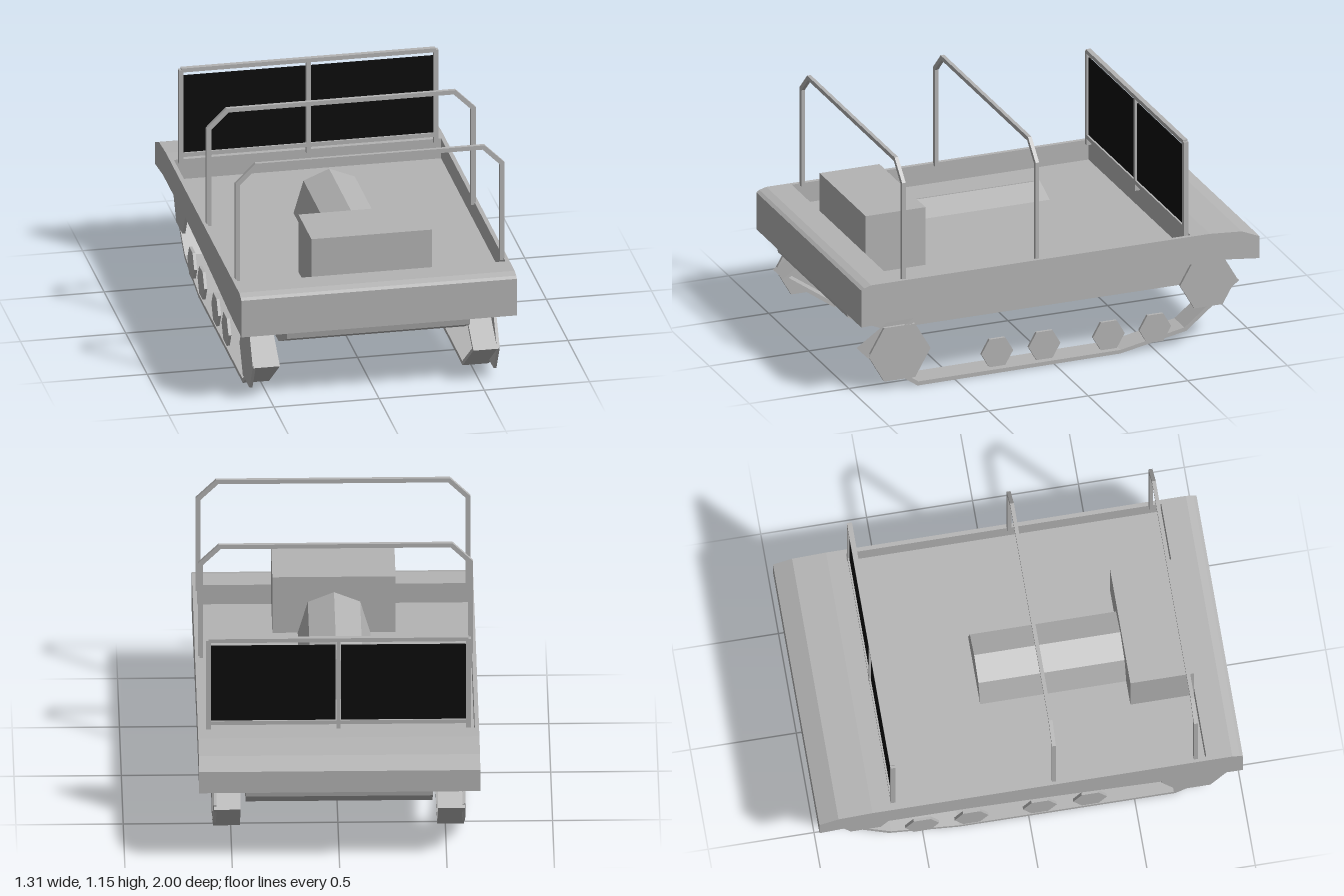
import * as THREE from 'three';

const body = new THREE.MeshStandardMaterial({ color: 0xb4b4b4 });
body.name = 'light grey';
const dark = new THREE.MeshStandardMaterial({ color: 0x0c0c0c });
dark.name = 'dark glass';

const pts = (list) => list.map(([a, b]) => new THREE.Vector2(a, b));

// Side outline of [z, y] points, extruded across x from x0 to x1
function acrossX(outline, x0, x1, hole) {
  const shape = new THREE.Shape(pts(outline));
  if (hole) shape.holes.push(new THREE.Path(pts(hole)));
  const g = new THREE.ExtrudeGeometry(shape, { depth: x1 - x0, bevelEnabled: false });
  return g.rotateY(-Math.PI / 2).translate(x1, 0, 0);
}

export function createModel() {
  const model = new THREE.Group();
  model.name = 'trackedCarrier';
  const add = (name, geometry, material = body) => {
    const mesh = new THREE.Mesh(geometry, material);
    mesh.name = name;
    model.add(mesh);
    return mesh;
  };
  const box = (name, x0, x1, y0, y1, z0, z1, material) =>
    add(name, new THREE.BoxGeometry(x1 - x0, y1 - y0, z1 - z0)
      .translate((x0 + x1) / 2, (y0 + y1) / 2, (z0 + z1) / 2), material);

  // Hull: tub with an open well, closed by full-height side plates
  const under = [[-1, 0.41], [-0.82, 0.43], [-0.3, 0.43], [0.1, 0.412], [0.45, 0.392], [0.7, 0.375], [1, 0.365]];
  const nose = [[1, 0.55], [0.985, 0.56], [0.95, 0.57]];
  const tail = [[-0.75, 0.57], [-0.91, 0.558], [-1, 0.52]];
  const well = [[0.83, 0.57], [0.83, 0.47], [-0.66, 0.47], [-0.66, 0.57]];
  add('hullTub', acrossX([...under, ...nose, ...well, ...tail], -0.636, 0.636));
  for (const s of [-1, 1]) {
    add('sidePlate', acrossX([...under, ...nose, ...tail], s > 0 ? 0.635 : -0.655, s > 0 ? 0.655 : -0.635));
  }

  // Belly pan
  add('belly', acrossX([
    [0.99, 0.38], [0.98, 0.33], [0.87, 0.275], [0.79, 0.24], [-0.72, 0.24],
    [-0.8, 0.265], [-0.95, 0.365], [-0.96, 0.42], [-0.3, 0.44], [0.7, 0.39],
  ], -0.435, 0.435));

  // Engine box and ridged tunnel behind it
  box('engineBox', -0.287, 0.287, 0.46, 0.76, 0.53, 0.83);
  const tunnel = new THREE.Shape(pts([[-0.172, 0.46], [0.172, 0.46], [0.122, 0.63], [0, 0.68], [-0.122, 0.63]]));
  add('tunnel', new THREE.ExtrudeGeometry(tunnel, { depth: 0.7, bevelEnabled: false }).translate(0, 0, -0.16));

  // Roof hoops: one bent outline each
  const outer = [[0.64, 0.56], [0.64, 1.053], [0.545, 1.147]];
  const inner = [[0.617, 0.56], [0.617, 1.045], [0.535, 1.126]];
  const flip = (list) => list.map(([x, y]) => [-x, y]).reverse();
  const hoop = new THREE.Shape(pts([...outer, ...flip(outer), ...flip(inner).reverse(), ...inner.slice().reverse()]));
  for (const z of [0.78, 0.11]) {
    add('roofHoop', new THREE.ExtrudeGeometry(hoop, { depth: 0.018, bevelEnabled: false }).translate(0, 0, z - 0.009));
  }

  // Windscreen frame and panes
  const zA = -0.658, zB = -0.634;
  box('windscreenTopBar', -0.605, 0.605, 1.02, 1.04, zA, zB);
  box('windscreenBottomBar', -0.605, 0.605, 0.592, 0.612, zA, zB);
  box('windscreenCentrePost', -0.01, 0.01, 0.56, 1.02, zA, zB);
  for (const s of [-1, 1]) {
    box('windscreenSidePost', s * 0.606 - 0.011, s * 0.606 + 0.011, 0.56, 1.032, zA, zB);
    box('windscreenPane', s * 0.303 - 0.29, s * 0.303 + 0.29, 0.612, 1.0, -0.65, -0.643, dark);
  }

  // Running gear: thin track band, with hexagonal wheels on its outer side
  const band = [
    [0.69, 0], [0.945, 0.18], [0.69, 0.357], [0.1, 0.41], [-0.3, 0.43], [-0.72, 0.433],
    [-0.925, 0.285], [-0.66, 0.07], [-0.33, 0.006],
  ];
  const bandInner = [
    [0.685, 0.02], [0.915, 0.18], [0.685, 0.338], [0.1, 0.393], [-0.3, 0.413], [-0.71, 0.415],
    [-0.895, 0.283], [-0.65, 0.088], [-0.33, 0.024],
  ];
  const wheels = [
    ['frontSprocket', 0.78, 0.18, 0.155, 0], ['rearSprocket', -0.77, 0.3, 0.142, 0],
    ['roadWheel', 0.29, 0.107, 0.08, 0], ['roadWheel', 0.053, 0.107, 0.08, 0],
    ['roadWheel', -0.27, 0.107, 0.08, 0], ['roadWheel', -0.503, 0.107, 0.08, 0],
  ];
  for (const s of [-1, 1]) {
    add('track', acrossX(band, s > 0 ? 0.46 : -0.585, s > 0 ? 0.585 : -0.46, bandInner));
    for (const [name, z, y, r] of wheels) {
      const hex = Array.from({ length: 6 }, (_, i) => {
        const a = (i * Math.PI) / 3;
        return [z + r * Math.cos(a), y + r * Math.sin(a)];
      });
      add(name, acrossX(hex, s * 0.58 - 0.007, s * 0.58 + 0.007));
    }
  }
  return model;
}
